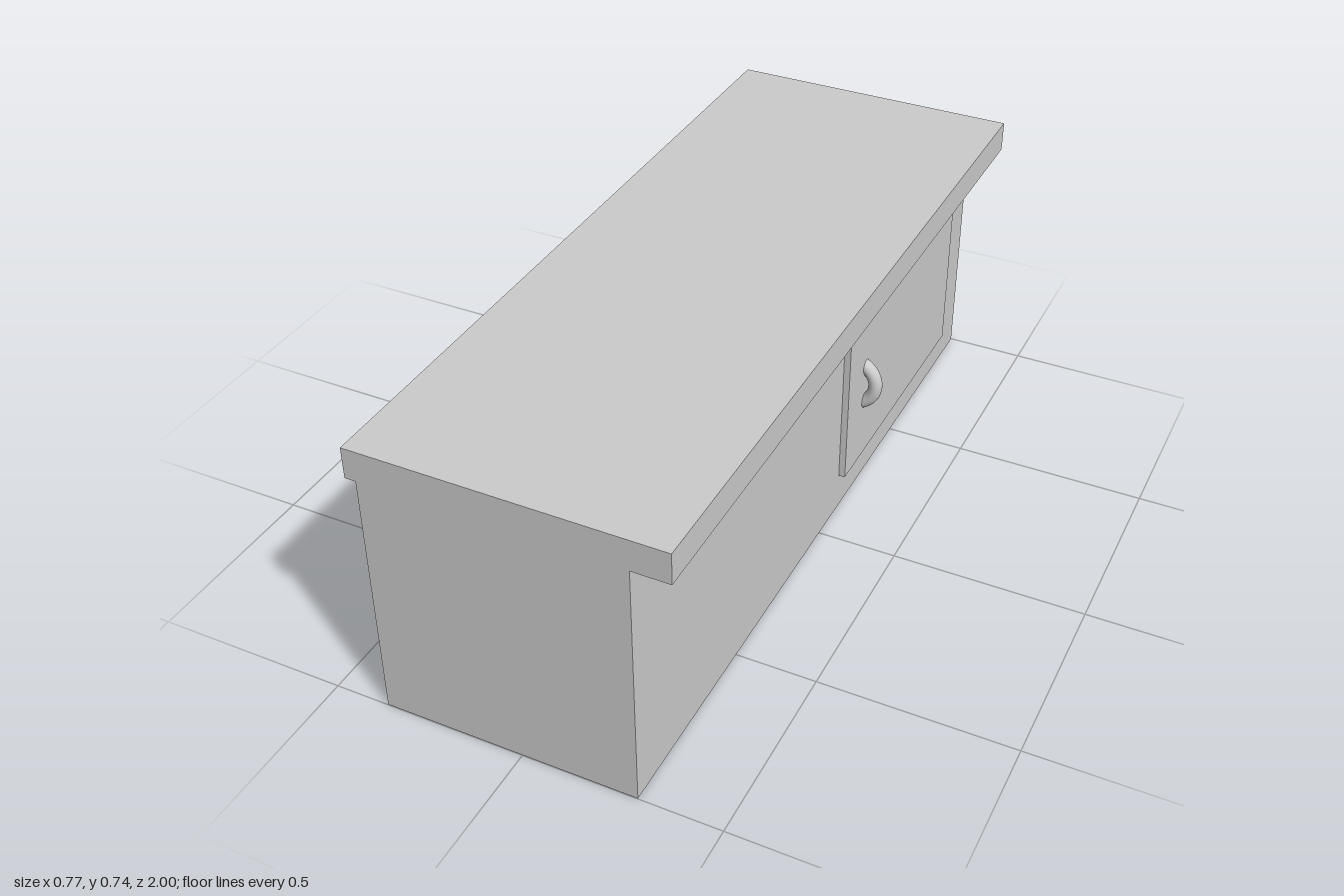
import * as THREE from 'three';

export function createModel() {
  const group = new THREE.Group();
  group.name = 'counter';
  const material = new THREE.MeshStandardMaterial({ color: 0xcccccc });

  const add = (name, geometry) => {
    const mesh = new THREE.Mesh(geometry, material);
    mesh.name = name;
    group.add(mesh);
    return mesh;
  };
  // Box given by its minimum and maximum corners
  const box = (name, [x0, y0, z0], [x1, y1, z1]) =>
    add(name, new THREE.BoxGeometry(x1 - x0, y1 - y0, z1 - z0))
      .position.set((x0 + x1) / 2, (y0 + y1) / 2, (z0 + z1) / 2);

  // Cabinet body and the overhanging worktop
  box('body', [-0.36, 0, -0.999], [0.292, 0.657, 0.999]);
  box('worktop', [-0.387, 0.657, -1], [0.387, 0.737, 1]);

  // Door panel standing slightly proud of the left side
  box('door', [0.28, 0.102, -0.856], [0.309, 0.556, -0.122]);

  // Half-ring pull handle, its ends sunk into the door
  const handle = add('handle', new THREE.TorusGeometry(0.064, 0.018, 20, 32, Math.PI));
  handle.rotation.z = -Math.PI / 2;
  handle.position.set(0.273, 0.329, -0.235);

  return group;
}
